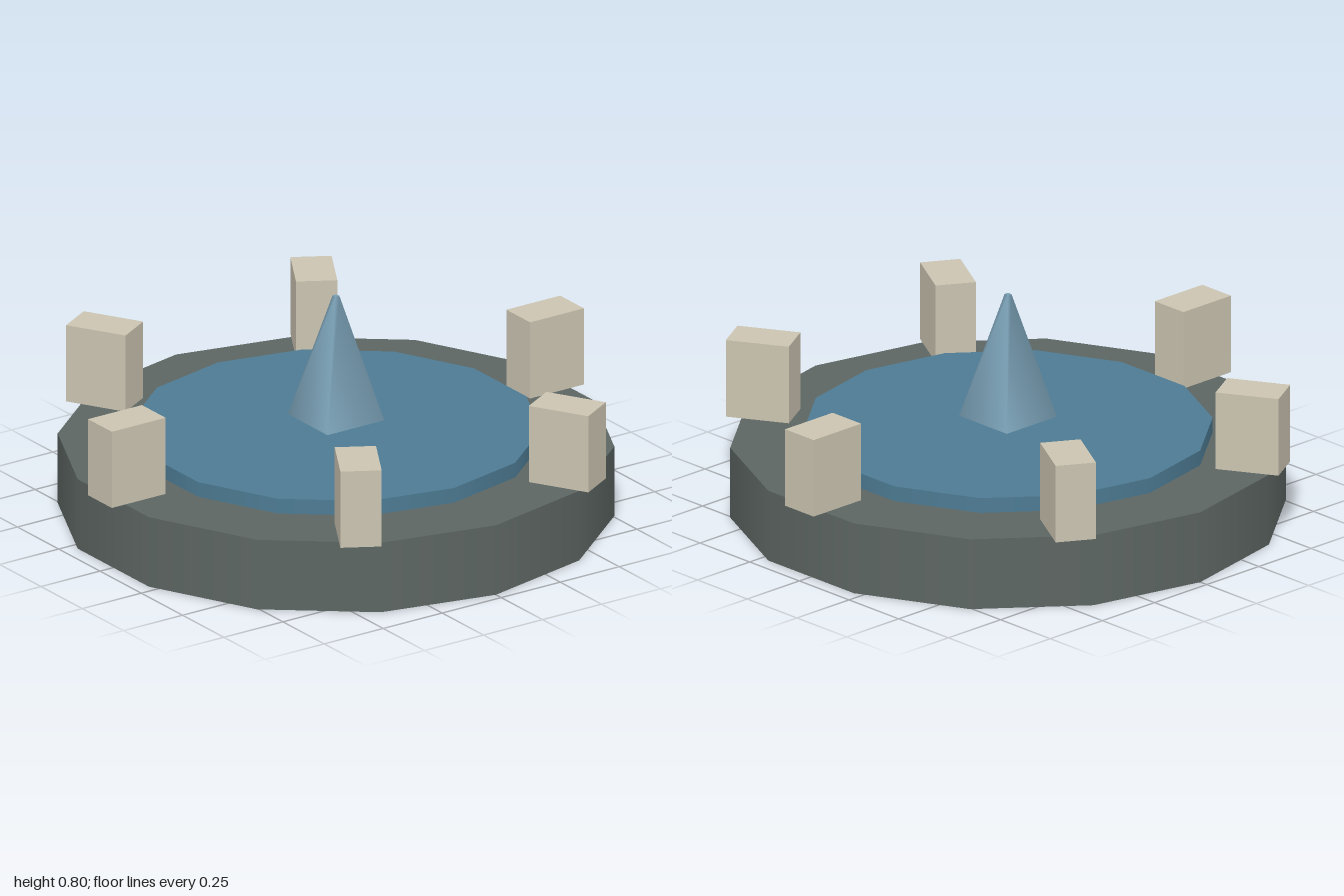
import * as THREE from 'three';

const SIDES = 14;

function addPart(parent, name, geometry, color, y) {
  const mesh = new THREE.Mesh(geometry, new THREE.MeshStandardMaterial({ color }));
  mesh.name = name;
  mesh.position.y = y;
  parent.add(mesh);
  return mesh;
}

export function createModel() {
  const model = new THREE.Group();
  model.name = 'fountain';

  // Round stone base and the raised water disc on it
  addPart(model, 'base', new THREE.CylinderGeometry(0.968, 0.968, 0.26, SIDES), 0x5d6663, 0.13);
  addPart(model, 'water', new THREE.CylinderGeometry(0.713, 0.713, 0.055, SIDES), 0x4d7b93, 0.2875);

  // Four-sided jet hovering above the water
  const jet = addPart(model, 'waterJet', new THREE.CylinderGeometry(0.012, 0.17, 0.455, 4), 0x789eb3, 0.5725);
  jet.rotation.y = Math.PI / 4;

  // Six blocks standing radially around the rim
  const blocks = new THREE.Group();
  blocks.name = 'rimBlocks';
  model.add(blocks);
  const blockGeometry = new THREE.BoxGeometry(0.228, 0.285, 0.144);
  for (let i = 0; i < 6; i++) {
    const angle = (i * Math.PI) / 3;
    const block = addPart(blocks, 'rimBlock' + (i + 1), blockGeometry, 0xcbc4b1, 0.4025);
    block.position.x = Math.cos(angle) * 0.886;
    block.position.z = -Math.sin(angle) * 0.886;
    block.rotation.y = angle;
  }

  return model;
}
